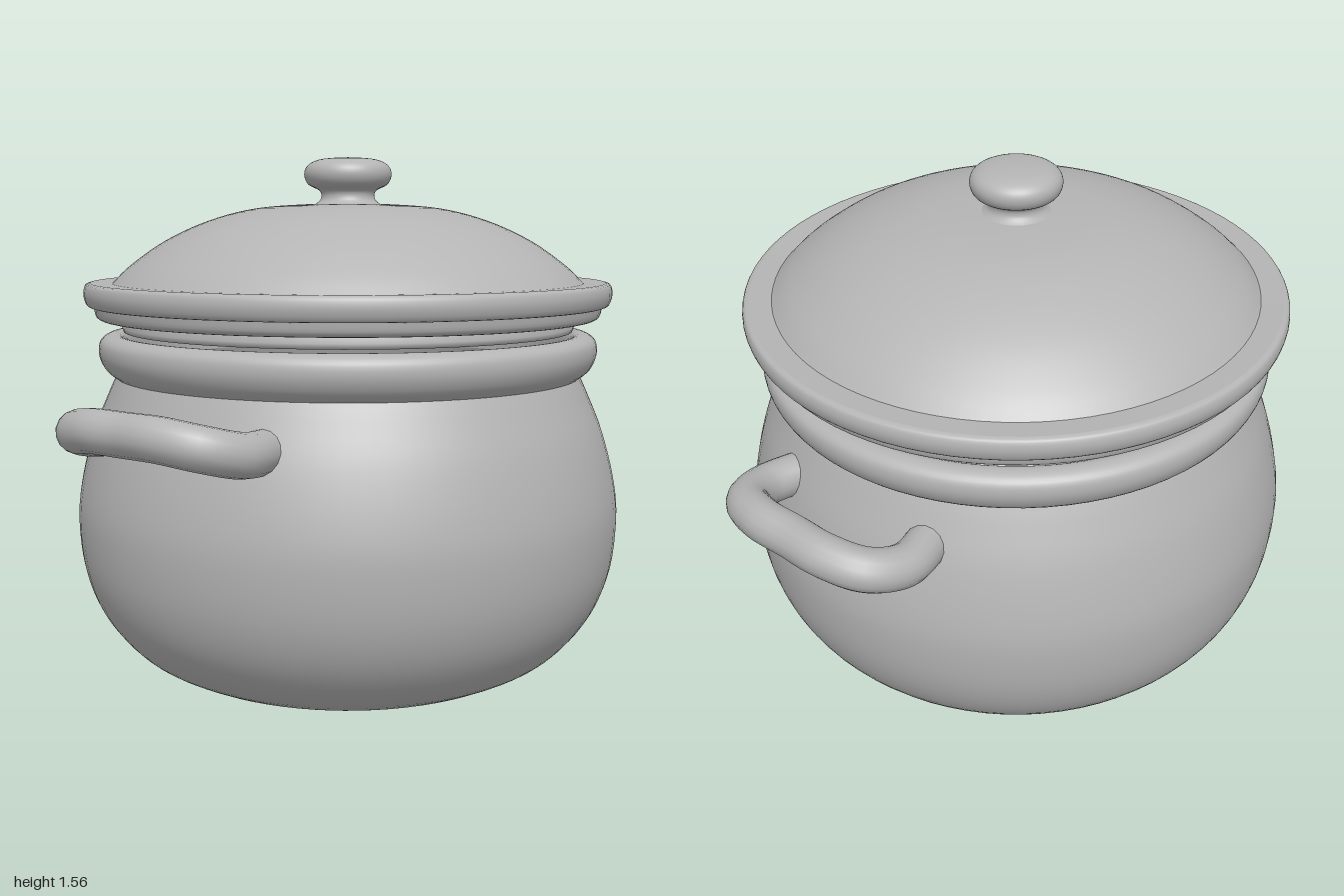
import * as THREE from 'three';

const steel = new THREE.MeshStandardMaterial({ color: 0xb4b4b4 });
steel.name = 'grey enamel';

const vecs = (pts) => pts.map(([x, y]) => new THREE.Vector2(x, y));

// Smooth curve through profile points, sampled evenly
const smooth = (pts, n) => new THREE.SplineCurve(vecs(pts)).getPoints(n)
  .map((p) => new THREE.Vector2(Math.max(p.x, 0), p.y));

// Revolve profile sections; each section is smooth, joins between them are crisp
function turned(name, sections) {
  const group = new THREE.Group();
  group.name = name;
  for (const [part, points] of sections) {
    const mesh = new THREE.Mesh(new THREE.LatheGeometry(points, 80), steel);
    mesh.name = part;
    group.add(mesh);
  }
  return group;
}

function makePot() {
  return turned('pot', [
    ['potBase', vecs([[0, 0], [0.5, 0.005]])],
    ['potBody', smooth([[0.5, 0.005], [0.57, 0.03], [0.67, 0.09], [0.76, 0.2], [0.81, 0.33],
      [0.825, 0.48], [0.812, 0.6], [0.775, 0.74], [0.73, 0.85], [0.705, 0.905]], 40)],
    ['potRim', smooth([[0.705, 0.905], [0.735, 0.93], [0.753, 0.97], [0.75, 1.01], [0.725, 1.03],
      [0.69, 1.03], [0.67, 1.0], [0.665, 0.93]], 28)],
    // Hollow inside, from the rim down to the floor
    ['potInside', smooth([[0.665, 0.93], [0.70, 0.84], [0.76, 0.68], [0.787, 0.48], [0.77, 0.33],
      [0.71, 0.2], [0.6, 0.09], [0.48, 0.05], [0, 0.045]], 36)],
  ]);
}

function makeLid() {
  return turned('lid', [
    ['lidUnderside', smooth([[0, 1.385], [0.28, 1.37], [0.45, 1.32], [0.57, 1.24], [0.62, 1.15],
      [0.64, 1.04]].reverse(), 24).reverse()],
    ['lidInsert', vecs([[0.64, 1.04], [0.68, 1.04], [0.685, 1.055], [0.675, 1.08]])],
    ['lidLowerRing', smooth([[0.675, 1.08], [0.73, 1.075], [0.758, 1.085], [0.765, 1.115]], 12)],
    ['lidFlange', smooth([[0.765, 1.115], [0.785, 1.12], [0.795, 1.15], [0.79, 1.178],
      [0.775, 1.185]], 14)],
    ['lidLedge', vecs([[0.775, 1.185], [0.71, 1.182]])],
    ['lidDome', smooth([[0.71, 1.182], [0.655, 1.235], [0.55, 1.308], [0.42, 1.367],
      [0.28, 1.403], [0.12, 1.416], [0, 1.418]], 30)],
    ['lidKnob', smooth([[0.105, 1.412], [0.083, 1.43], [0.084, 1.455], [0.12, 1.475],
      [0.132, 1.505], [0.12, 1.533], [0.08, 1.55], [0, 1.556]], 28)],
  ]);
}

// Bent grip that rises slightly away from the pot
function makeHandle(side) {
  const half = [[0.66, 0.775, 0.24], [0.8, 0.785, 0.268], [0.895, 0.81, 0.225], [0.937, 0.828, 0.12]];
  const path = [...half, [0.937, 0.828, 0], ...half.map(([x, y, z]) => [x, y, -z]).reverse()];
  const curve = new THREE.CatmullRomCurve3(path.map(([x, y, z]) => new THREE.Vector3(side * x, y, side * z)));
  const mesh = new THREE.Mesh(new THREE.TubeGeometry(curve, 60, 0.06, 16, false), steel);
  mesh.name = side > 0 ? 'leftHandle' : 'rightHandle';
  return mesh;
}

export function createModel() {
  const model = new THREE.Group();
  model.name = 'cookingPot';
  model.add(makePot(), makeLid(), makeHandle(1), makeHandle(-1));
  return model;
}
